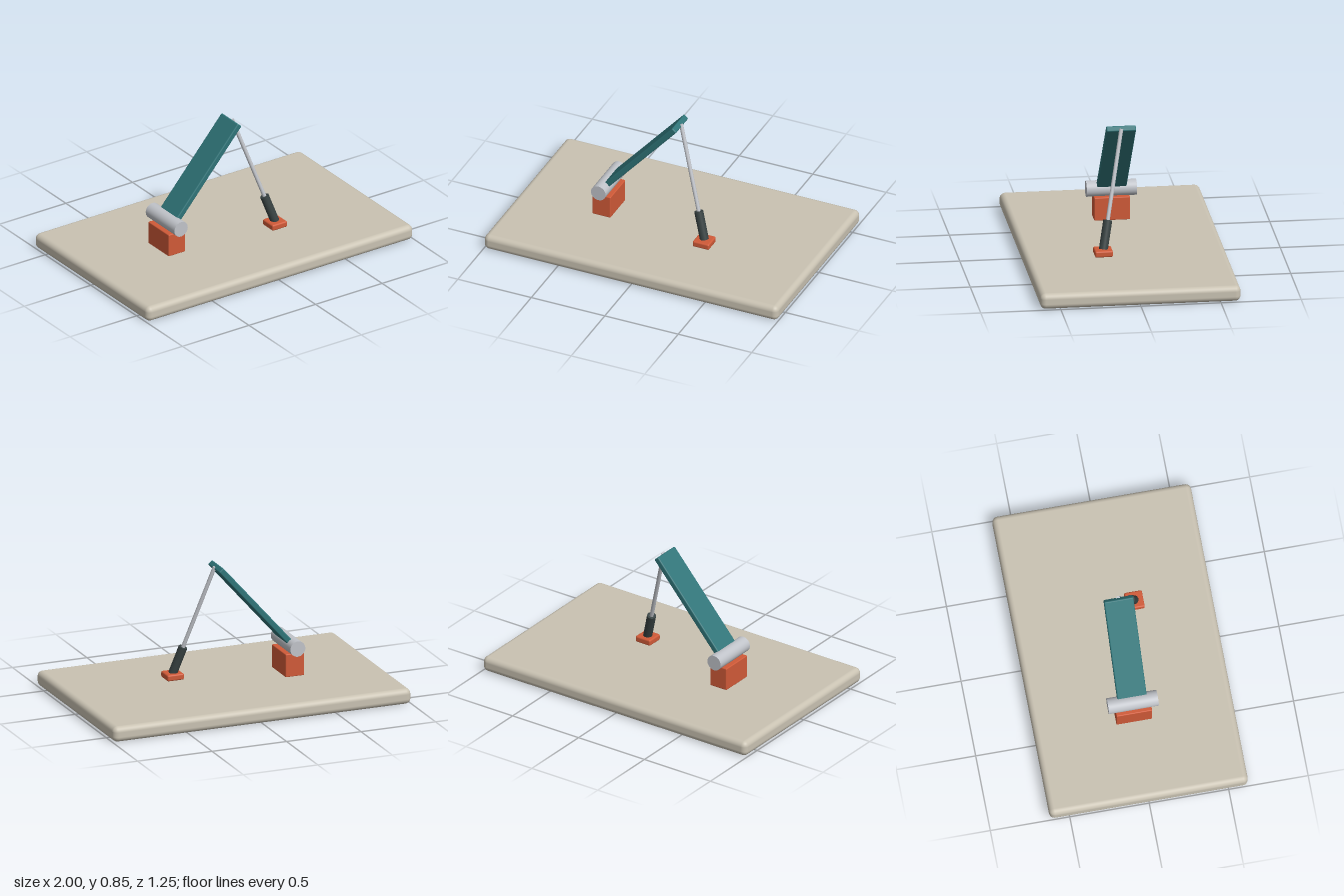
import * as THREE from 'three';
import { RoundedBoxGeometry } from 'three/addons/geometries/RoundedBoxGeometry.js';

function material(name, color) {
  const m = new THREE.MeshStandardMaterial({ color });
  m.name = name;
  return m;
}

export function createModel() {
  const group = new THREE.Group();
  const stone = material('warm stone', 0xc9c2b2);
  const orange = material('burnt orange', 0xd05a38);
  const teal = material('teal', 0x2f7478);
  const silver = material('silver', 0xc0c3c9);
  const charcoal = material('charcoal', 0x384242);

  const add = (name, geometry, mat, x, y, z) => {
    const mesh = new THREE.Mesh(geometry, mat);
    mesh.name = name;
    mesh.position.set(x, y, z);
    group.add(mesh);
    return mesh;
  };
  const box = (name, mat, w, h, d, r, x, y, z) =>
    add(name, new RoundedBoxGeometry(w, h, d, 4, r), mat, x, y, z);
  // Cylinder running between two points
  const rod = (name, mat, r, a, b) => {
    const dir = b.clone().sub(a);
    const mid = a.clone().add(b).multiplyScalar(0.5);
    const mesh = add(name, new THREE.CylinderGeometry(r, r, dir.length(), 40), mat, mid.x, mid.y, mid.z);
    mesh.quaternion.setFromUnitVectors(new THREE.Vector3(0, 1, 0), dir.normalize());
    return mesh;
  };

  // Base slab and the two mounts
  box('base', stone, 2, 0.1, 1.25, 0.035, 0, 0.05, 0);
  box('hingeBlock', orange, 0.125, 0.15, 0.225, 0.006, -0.43, 0.173, 0);
  box('strutFoot', orange, 0.112, 0.04, 0.112, 0.01, 0.285, 0.12, 0.143);

  // Hinge barrel across the block
  const hinge = new THREE.Vector3(-0.43, 0.29, 0);
  rod('hingeBarrel', silver, 0.05, new THREE.Vector3(-0.43, 0.29, -0.157), new THREE.Vector3(-0.43, 0.29, 0.157));

  // Raised flat arm
  const tip = new THREE.Vector3(0.057, 0.845, 0);
  const span = tip.clone().sub(hinge);
  const arm = box('arm', teal, span.length(), 0.038, 0.185, 0.008,
    (hinge.x + tip.x) / 2, (hinge.y + tip.y) / 2, 0);
  arm.rotation.z = Math.atan2(span.y, span.x);

  // Telescopic strut: sleeve at the foot, thin rod to the arm tip
  const foot = new THREE.Vector3(0.285, 0.135, 0.141);
  const top = new THREE.Vector3(0.062, 0.842, 0);
  rod('strutSleeve', charcoal, 0.028, foot, foot.clone().lerp(top, 0.245));
  rod('strutRod', silver, 0.0125, foot.clone().lerp(top, 0.1), top);

  return group;
}
